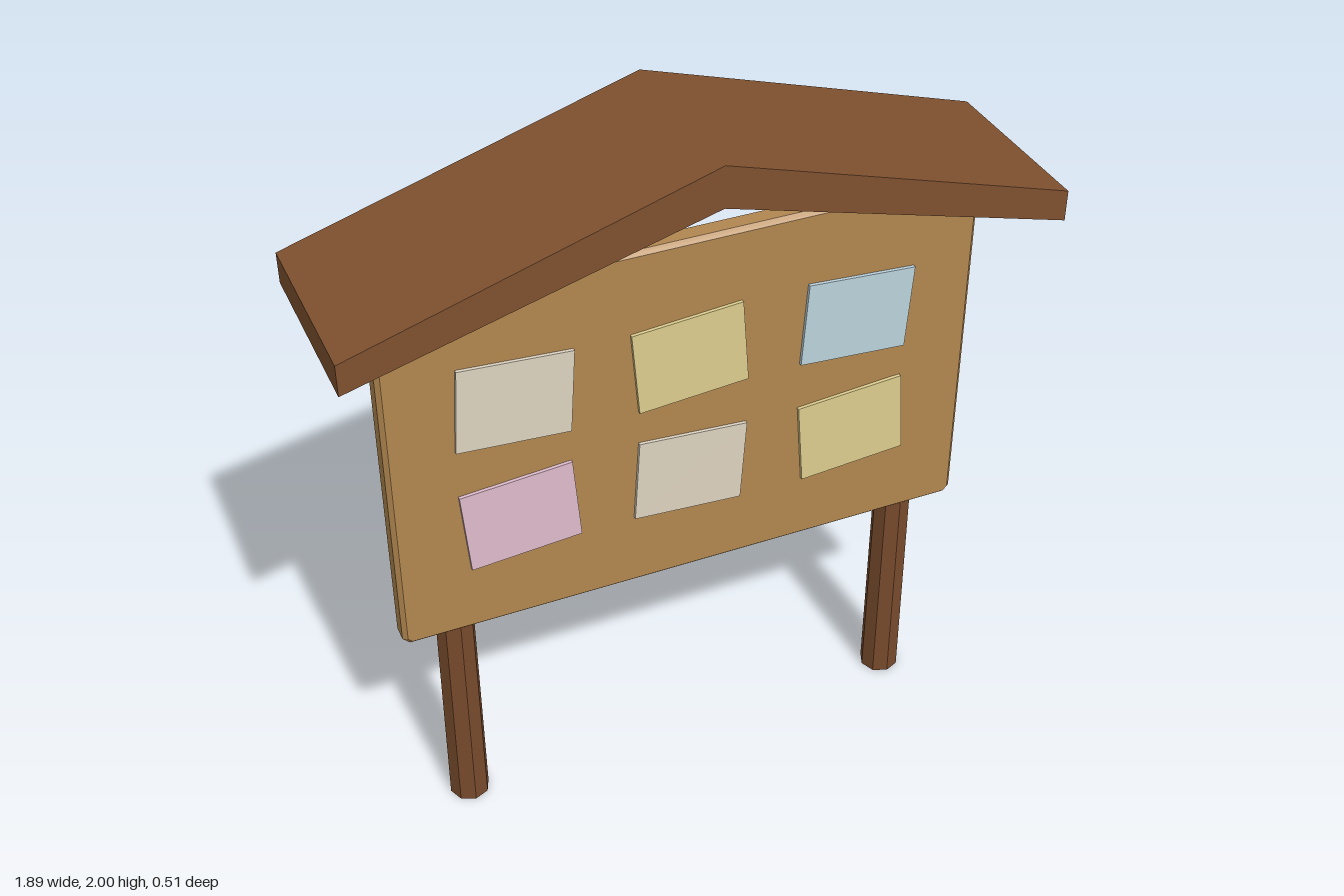
import * as THREE from 'three';

const mat = (name, color) => {
  const m = new THREE.MeshStandardMaterial({ color });
  m.name = name;
  return m;
};

// Separate the faces so that each gets its own flat normal
function faceted(geometry) {
  const g = geometry.index ? geometry.toNonIndexed() : geometry;
  g.computeVertexNormals();
  return g;
}

function polygon(points) {
  return new THREE.Shape(points.map(([x, y]) => new THREE.Vector2(x, y)));
}

export function createModel() {
  const model = new THREE.Group();
  model.name = 'noticeBoard';

  const roofWood = mat('roof brown', 0x7f5130);
  const postWood = mat('post brown', 0x774a2c);
  const boardWood = mat('board tan', 0xb28750);
  const cream = mat('cream paper', 0xddd3c0);
  const yellow = mat('yellow paper', 0xddcd8e);
  const blue = mat('blue paper', 0xbbd2dc);
  const pink = mat('pink paper', 0xdebbcc);

  const add = (name, geometry, material, x = 0, y = 0, z = 0) => {
    const mesh = new THREE.Mesh(geometry, material);
    mesh.name = name;
    mesh.position.set(x, y, z);
    model.add(mesh);
    return mesh;
  };

  // Tapered eight-sided posts, tops buried in the roof
  const postHeight = 1.75;
  const postGeometry = faceted(new THREE.CylinderGeometry(0.048, 0.056, postHeight, 8));
  for (const side of [-1, 1]) {
    add(side > 0 ? 'leftPost' : 'rightPost', postGeometry, postWood, side * 0.655, postHeight / 2, 0);
  }

  // Board with clipped corners and bevelled edges
  const bevel = 0.012, w = 0.812 - bevel, h = 0.522 - bevel, c = 0.012;
  const outline = polygon([
    [-w + c, -h], [w - c, -h], [w, -h + c], [w, h - c],
    [w - c, h], [-w + c, h], [-w, h - c], [-w, -h + c],
  ]);
  const boardGeometry = new THREE.ExtrudeGeometry(outline, {
    depth: 0.068 - 2 * bevel, bevelSize: bevel, bevelThickness: bevel, bevelSegments: 1,
  });
  add('board', faceted(boardGeometry), boardWood, 0, 1.167, -0.01 + bevel);

  // Gabled roof slab, slightly thicker at the ridge
  const roofShape = polygon([
    [-0.943, 1.626], [0, 1.887], [0.943, 1.626], [0.943, 1.711], [0, 2], [-0.943, 1.711],
  ]);
  const roofDepth = 0.508;
  const roofGeometry = new THREE.ExtrudeGeometry(roofShape, { depth: roofDepth, bevelEnabled: false });
  add('roof', faceted(roofGeometry), roofWood, 0, 0, -roofDepth / 2);

  // Pinned notes in two rows, tilted alternately
  const noteGeometry = new THREE.BoxGeometry(0.305, 0.243, 0.0099);
  const rows = [[cream, yellow, blue], [pink, cream, yellow]];
  rows.forEach((row, r) => row.forEach((paper, i) => {
    const note = add('note', noteGeometry, paper, (i - 1) * 0.472, r ? 0.983 : 1.346, 0.0628);
    note.rotation.z = (r + i) % 2 ? 0.077 : -0.066;
  }));

  return model;
}
